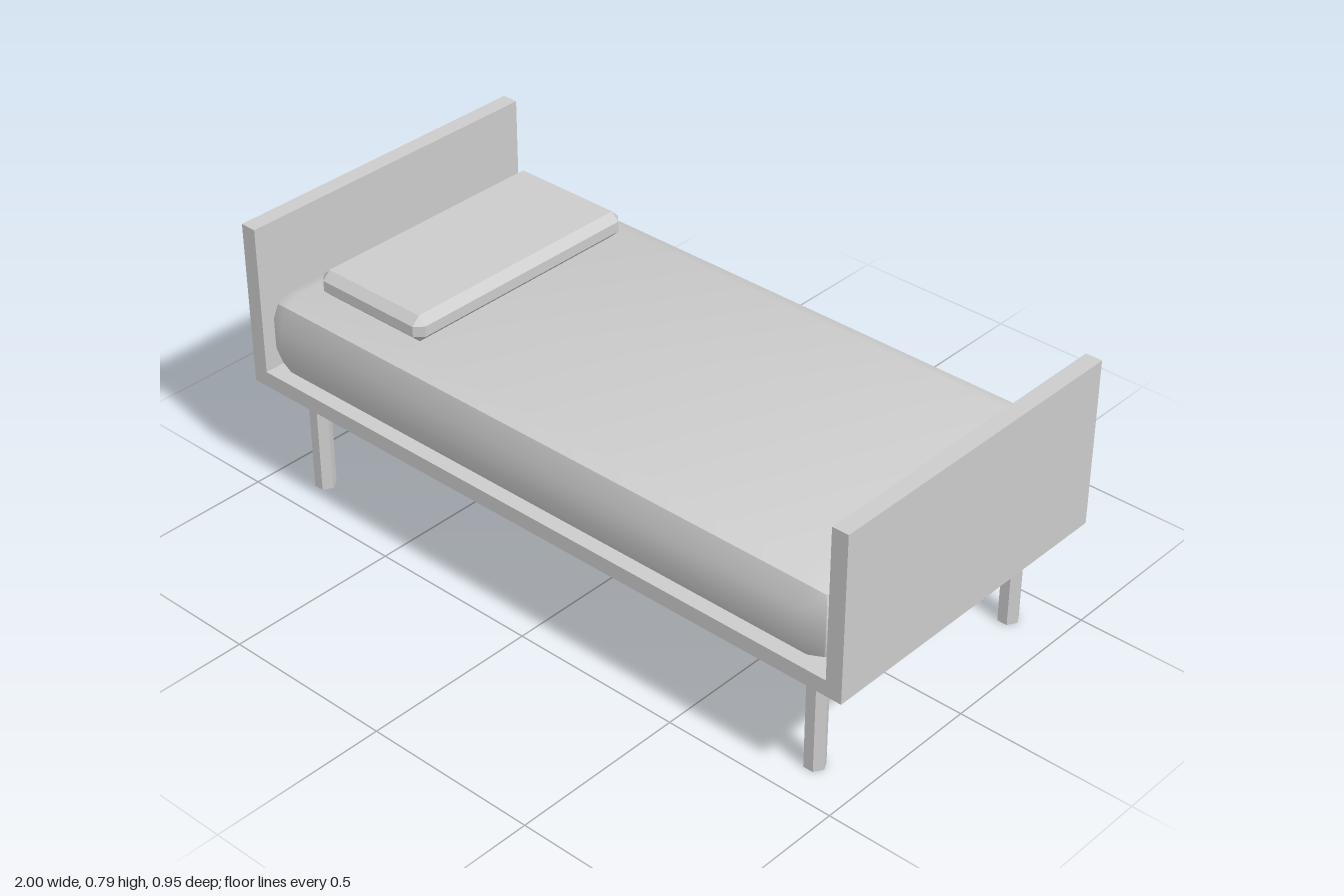
import * as THREE from 'three';
import { toCreasedNormals } from 'three/addons/utils/BufferGeometryUtils.js';
import { RoundedBoxGeometry } from 'three/addons/geometries/RoundedBoxGeometry.js';
import { ConvexGeometry } from 'three/addons/geometries/ConvexGeometry.js';

const material = new THREE.MeshStandardMaterial({ color: 0xcccccc });
const flatMaterial = new THREE.MeshStandardMaterial({ color: 0xcccccc, flatShading: true });

// Box with every edge and corner cut by c
function chamferedBox(w, h, d, c) {
  const points = [];
  for (const sx of [-1, 1]) for (const sy of [-1, 1]) for (const sz of [-1, 1]) {
    for (let axis = 0; axis < 3; axis++) {
      const inset = [c, c, c];
      inset[axis] = 0;
      points.push(new THREE.Vector3(
        sx * (w / 2 - inset[0]), sy * (h / 2 - inset[1]), sz * (d / 2 - inset[2])));
    }
  }
  return new ConvexGeometry(points);
}

export function createModel() {
  const bed = new THREE.Group();
  bed.name = 'bed';

  const add = (name, geometry, x, y, z, mat = material) => {
    const mesh = new THREE.Mesh(geometry, mat);
    mesh.name = name;
    mesh.position.set(x, y, z);
    bed.add(mesh);
    return mesh;
  };

  const depth = 0.95, bottom = 0.317, top = 0.793, board = 0.047, baseHeight = 0.045;

  // Base panel between the two end boards
  add('base', new THREE.BoxGeometry(2 - 2 * board, baseHeight, depth), 0, bottom + baseHeight / 2, 0);
  const endBoard = new THREE.BoxGeometry(board, top - bottom, depth);
  add('headboard', endBoard, -1 + board / 2, (top + bottom) / 2, 0);
  add('footboard', endBoard, 1 - board / 2, (top + bottom) / 2, 0);

  // Mattress with two-step rounded edges
  const mattress = new RoundedBoxGeometry(2 - 2 * board, 0.241, depth, 1, 0.075);
  add('mattress', toCreasedNormals(mattress, 0.6), 0, bottom + baseHeight + 0.1205, 0);

  // Pillow resting at the head end
  add('pillow', chamferedBox(0.376, 0.076, 0.755, 0.023), -0.647, 0.641, 0, flatMaterial);

  // Hexagonal legs
  const leg = new THREE.CylinderGeometry(0.0295, 0.0295, bottom, 6).rotateY(Math.PI / 6);
  for (const [end, x] of [['Head', -0.858], ['Foot', 0.858]]) {
    for (const [side, z] of [['front', 0.382], ['back', -0.382]]) {
      add(`${side}${end}Leg`, leg, x, bottom / 2, z, flatMaterial);
    }
  }
  return bed;
}
